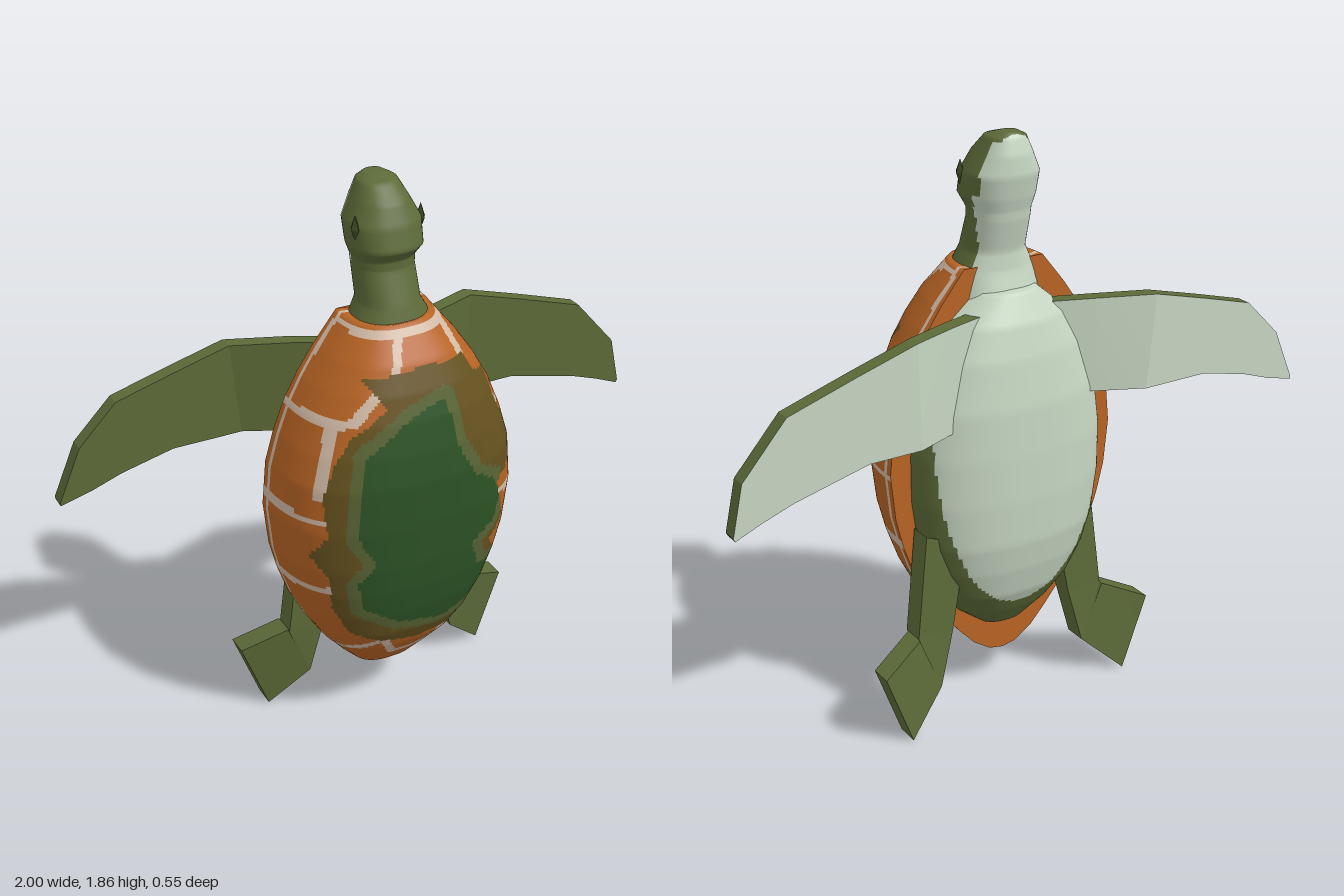
import * as THREE from 'three';

const mat = (name, color) => new THREE.MeshStandardMaterial({ name, color, side: THREE.DoubleSide });
const olive = mat('olive skin', 0x5c6a38);
const pale = mat('pale underside', 0xc6d6c2);
const orange = mat('orange shell', 0xb86424);
const cream = mat('cream seams', 0xd2baa6);
const moss = mat('dark moss', 0x2d5426);
const mossEdge = mat('moss edge', 0x5a6535);
const brown = mat('brown patch', 0x66521f);
const darkOlive = mat('dark olive', 0x424e28);

// Linear lookup in rows, t from 0 to 1
function sample(rows, t) {
  const f = t * (rows.length - 1), i = Math.min(Math.floor(f), rows.length - 2);
  return rows[i].map((a, k) => a + (rows[i + 1][k] - a) * (f - i));
}

// Smooth grid surface; paint(x, y, z) picks the material number of each cell
function surface(name, point, nu, nv, closed, paint, materials) {
  const pos = [], lists = materials.map(() => []), cols = closed ? nu : nu + 1;
  for (let j = 0; j <= nv; j++)
    for (let i = 0; i < cols; i++) pos.push(...point(i / nu, j / nv));
  for (let j = 0; j < nv; j++) {
    for (let i = 0; i < nu; i++) {
      const a = j * cols + i, b = j * cols + (i + 1) % cols, c = a + cols, d = b + cols;
      const mid = k => (pos[a * 3 + k] + pos[b * 3 + k] + pos[c * 3 + k] + pos[d * 3 + k]) / 4;
      lists[paint(mid(0), mid(1), mid(2))].push(a, b, c, b, d, c);
    }
  }
  return grouped(name, pos, lists, materials);
}

function grouped(name, pos, lists, materials) {
  const geo = new THREE.BufferGeometry();
  geo.setAttribute('position', new THREE.Float32BufferAttribute(pos, 3));
  geo.setIndex(lists.flat());
  let start = 0;
  lists.forEach((l, m) => { geo.addGroup(start, l.length, m); start += l.length; });
  geo.computeVertexNormals();
  const mesh = new THREE.Mesh(geo, materials);
  mesh.name = name;
  return mesh;
}

// Flat-sided limb through stations [topX, topY, bottomX, bottomY, z]
function slab(name, stations, thick, side, backMat) {
  const pos = [], lists = [[], []];
  const quad = (m, ...p) => {
    const n = pos.length / 3;
    p.forEach(q => pos.push(...q));
    lists[m].push(...(side > 0 ? [n, n + 1, n + 2, n, n + 2, n + 3] : [n, n + 2, n + 1, n, n + 3, n + 2]));
  };
  const corners = stations.map(([tx, ty, bx, by, z]) => {
    const f = z + thick / 2, r = z - thick / 2;
    return [[tx * side, ty, f], [bx * side, by, f], [bx * side, by, r], [tx * side, ty, r]];
  });
  for (let i = 0; i < corners.length - 1; i++) {
    const [t0, b0, c0, s0] = corners[i], [t1, b1, c1, s1] = corners[i + 1];
    quad(0, t0, b0, b1, t1);
    quad(1, s0, s1, c1, c0);
    quad(0, t0, t1, s1, s0);
    quad(0, c0, c1, b1, b0);
  }
  quad(0, ...corners[corners.length - 1]);
  return grouped(name, pos, lists, [olive, backMat]);
}

// Distance from a point to a segment, and point-in-polygon test
function segDist(x, y, [ax, ay], [bx, by]) {
  const dx = bx - ax, dy = by - ay;
  const t = Math.max(0, Math.min(1, ((x - ax) * dx + (y - ay) * dy) / (dx * dx + dy * dy)));
  return Math.hypot(x - ax - t * dx, y - ay - t * dy);
}
function inside(x, y, poly) {
  let r = false;
  poly.forEach(([ax, ay], i) => {
    const [bx, by] = poly[(i + 1) % poly.length];
    if ((ay > y) !== (by > y) && x < ax + (bx - ax) * (y - ay) / (by - ay)) r = !r;
  });
  return r;
}
const edgeDist = (x, y, poly) => Math.min(...poly.map((p, i) => segDist(x, y, p, poly[(i + 1) % poly.length])));

// Painted areas of the shell in x, y
const mossShape = [[-.06, 1.21], [.07, 1.25], [.10, 1.09], [.16, .98], [.25, .92], [.28, .84], [.26, .76], [.17, .71],
  [.21, .60], [.30, .58], [.29, .48], [.17, .44], [.09, .42], [-.07, .46], [-.20, .55], [-.22, .66], [-.17, .73],
  [-.23, .84], [-.22, .98], [-.20, 1.11]];
const patchShape = [[.01, 1.35], [.17, 1.34], [.20, 1.28], [.27, 1.25], [.28, 1.17], [.35, 1.03], [.33, .93], [.25, .90],
  [.29, .82], [.315, .73], [.25, .68], [.315, .58], [.325, .48], [.25, .42], [.17, .35], [.01, .34], [-.12, .37],
  [-.22, .43], [-.28, .55], [-.30, .68], [-.35, .76], [-.31, .84], [-.32, .98], [-.28, 1.09], [-.23, 1.17],
  [-.12, 1.25], [-.17, 1.33]];
const seams = [[-.04, 1.43, -.10, 1.28], [.13, 1.44, .18, 1.27], [.18, 1.27, .28, 1.15], [.26, 1.15, .42, 1.14],
  [.25, .86, .44, .84], [.29, .60, .42, .61], [-.40, 1.19, -.22, 1.21], [-.22, 1.21, -.13, 1.30], [-.44, .90, -.30, .89],
  [-.42, .61, -.27, .63], [-.27, .28, -.10, .37], [-.10, .37, -.03, .25], [-.03, .25, .07, .26], [.07, .26, .13, .35],
  [.13, .35, .27, .32], [.33, .56, .22, .28], [-.27, 1.20, -.33, .98], [-.14, 1.44, .14, 1.44]];

function paintShell(x, y, z) {
  if (z > -.056 && z < -.038) return 1;
  if (inside(x, y, mossShape)) return 2;
  if (inside(x, y, patchShape)) return edgeDist(x, y, mossShape) < .035 ? 3 : 4;
  return seams.some(([a, b, c, d]) => segDist(x, y, [a, b], [c, d]) < .013) ? 1 : 0;
}

export function createModel() {
  const turtle = new THREE.Group();
  turtle.name = 'turtle';

  // Domed shell: rows of [y, half width, front z]
  const rim = -.075;
  const shellRows = [[1.44, 0, .04], [1.46, .14, .11], [1.36, .22, .185], [1.28, .275, .22], [1.2, .32, .245],
    [1.1, .36, .265], [1, .39, .275], [.85, .405, .268], [.7, .39, .252], [.6, .365, .236], [.5, .33, .213],
    [.4, .28, .18], [.32, .23, .135], [.24, .165, .07], [.18, .11, .02], [.14, .05, -.03], [.13, 0, -.06]];
  turtle.add(surface('shell', (u, v) => {
    const [y, w, h] = sample(shellRows, v), a = u * Math.PI, c = Math.cos(a);
    return [w * Math.sign(c) * Math.abs(c) ** .75, y, rim + (h - rim) * Math.max(0, Math.sin(a)) ** .75];
  }, 110, 144, false, paintShell, [orange, cream, moss, mossEdge, brown]));

  // Flat underside of the shell
  const outline = shellRows.slice(1).map(([y, w]) => new THREE.Vector2(w, y));
  const mirrored = outline.slice().reverse().map(p => new THREE.Vector2(-p.x, p.y));
  const under = new THREE.Mesh(new THREE.ShapeGeometry(new THREE.Shape([...outline, ...mirrored])), orange);
  under.name = 'shellUnderside';
  under.position.z = rim;
  turtle.add(under);

  // Body with pale belly: rows of [y, half width, back z]
  const bodyRows = [[1.39, 0, -.1], [1.385, .1, -.16], [1.3, .2, -.205], [1.2, .26, -.232], [1.05, .315, -.254],
    [.9, .335, -.26], [.75, .335, -.261], [.6, .315, -.255], [.5, .285, -.235], [.4, .235, -.205], [.32, .17, -.16],
    [.25, .08, -.11], [.23, 0, -.07]];
  turtle.add(surface('body', (u, v) => {
    const [y, w, h] = sample(bodyRows, v), a = u * Math.PI, c = Math.cos(a);
    return [-w * Math.sign(c) * Math.abs(c) ** .85, y, -.05 + (h + .05) * Math.max(0, Math.sin(a)) ** .85];
  }, 64, 96, false, (x, y) => Math.hypot(x / .3, (y - .93) / .57) < 1 || y > 1.3 ? 1 : 0, [olive, pale]));

  // Neck and head: rows of [y, front z, back z, half width]
  const headRows = [[1.868, -.1, -.1, 0], [1.865, -.07, -.125, .03], [1.85, -.02, -.14, .06], [1.8, .03, -.156, .085],
    [1.74, .06, -.16, .115], [1.67, .08, -.146, .112], [1.63, .045, -.134, .096], [1.6, .045, -.13, .094],
    [1.5, .085, -.105, .095], [1.44, .105, -.11, .125], [1.34, .1, -.14, .14]];
  turtle.add(surface('neckAndHead', (u, v) => {
    const [y, f, b, w] = sample(headRows, v), a = u * Math.PI * 2;
    const p = t => Math.sign(t) * Math.abs(t) ** .85;
    return [w * p(Math.cos(a)), y, (f + b) / 2 + (f - b) / 2 * p(Math.sin(a))];
  }, 48, 60, true, (x, y, z) => z < (y > 1.84 ? -.13 : y > 1.68 ? -.105 : -.065) ? 1 : 0, [olive, pale]));

  // Eyes
  for (const s of [-1, 1]) {
    const eye = new THREE.Mesh(new THREE.OctahedronGeometry(1), darkOlive);
    eye.name = s > 0 ? 'leftEye' : 'rightEye';
    eye.scale.set(.014, .042, .024);
    eye.position.set(s * .108, 1.735, -.005);
    turtle.add(eye);
  }

  // Front flippers, held at slightly different angles
  turtle.add(slab('leftFrontFlipper', [[.1, 1.33, .1, 1, -.11], [.25, 1.335, .25, 1, -.165], [.4, 1.335, .39, 1, -.22],
    [.6, 1.275, .565, 1, -.22], [.82, 1.205, .81, .94, -.22], [.965, 1.04, .91, .905, -.22],
    [1, .88, .995, .87, -.22]], .05, 1, pale));
  turtle.add(slab('rightFrontFlipper', [[.1, 1.33, .1, 1.03, -.11], [.25, 1.335, .25, 1.03, -.18], [.43, 1.335, .4, 1.03, -.25],
    [.62, 1.285, .63, 1.03, -.25], [.8, 1.235, .8, .99, -.25], [.925, 1.11, .9, .955, -.25],
    [1, .94, 1, .93, -.25]], .05, -1, pale));

  // Hind legs with splayed feet
  const legRows = [[.33, .66, .19, .6, -.12], [.37, .32, .245, .32, -.13], [.372, .318, .295, .13, -.14],
    [.52, .25, .43, .005, -.19]];
  turtle.add(slab('leftHindLeg', legRows, .075, 1, olive));
  const rightLeg = slab('rightHindLeg', legRows, .075, -1, olive);
  rightLeg.position.x = .05;
  turtle.add(rightLeg);

  return turtle;
}
